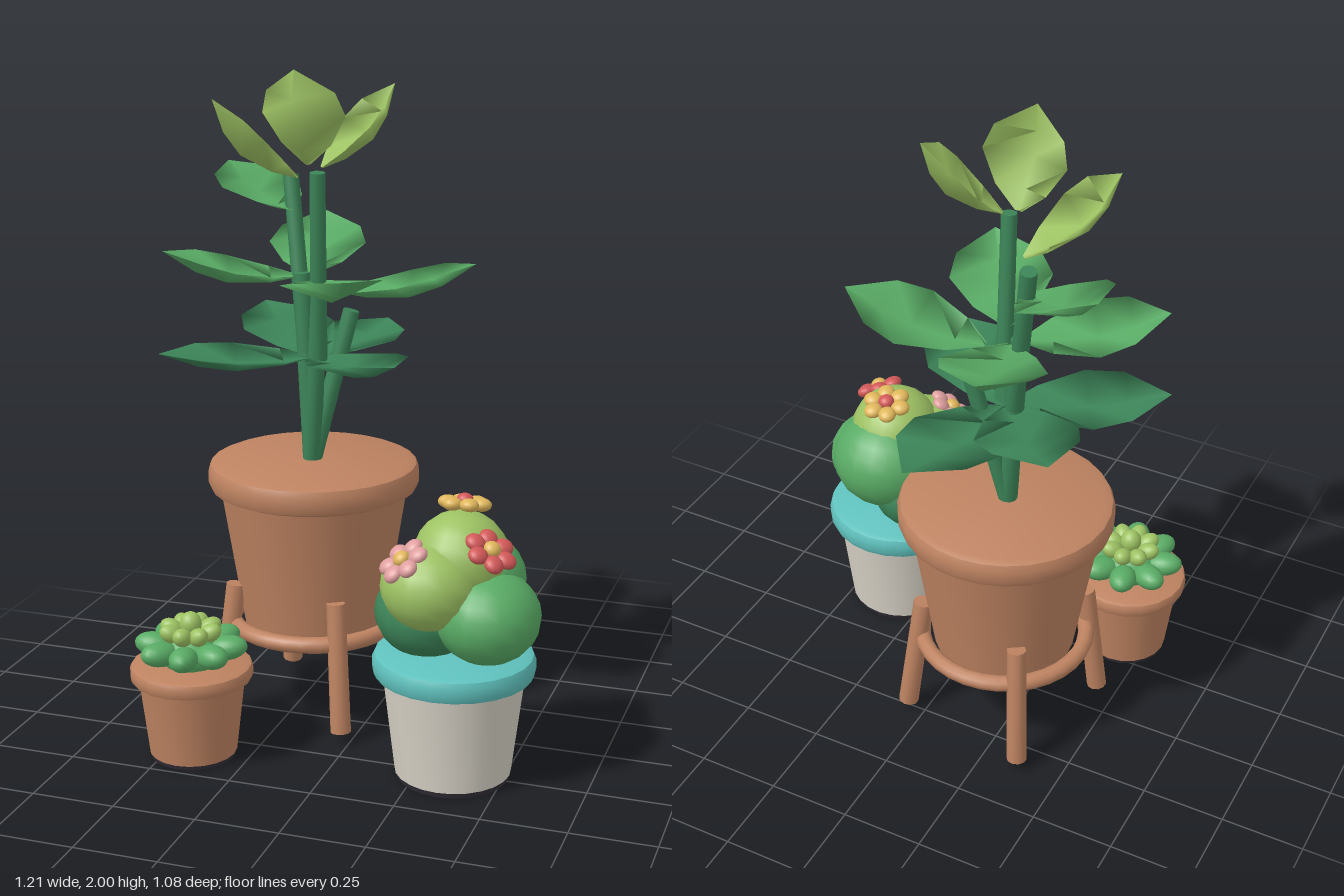
import * as THREE from 'three';
import { toCreasedNormals } from 'three/addons/utils/BufferGeometryUtils.js';

const mat = (name, color) => new THREE.MeshStandardMaterial({ name, color });
const V = (p) => new THREE.Vector3(...p);
const UP = new THREE.Vector3(0, 1, 0);

export function createModel() {
  const model = new THREE.Group();
  model.name = 'pottedPlants';

  const terracotta = mat('terracotta', 0xbe8361);
  const dark = mat('darkBase', 0x332e37);
  const white = mat('whiteGlaze', 0xd8d3c7);
  const teal = mat('tealGlaze', 0x5fc1bd);
  const deepGreen = mat('deepGreen', 0x3c8458);
  const midGreen = mat('midGreen', 0x59ab65);
  const limeGreen = mat('limeGreen', 0x9dc263);
  const yellow = mat('yellow', 0xdfb65b);
  const red = mat('red', 0xd25858);
  const pink = mat('pink', 0xdf9e9e);

  const add = (parent, name, geometry, material, pos = [0, 0, 0]) => {
    const mesh = new THREE.Mesh(geometry, material);
    mesh.name = name;
    mesh.position.set(...pos);
    parent.add(mesh);
    return mesh;
  };
  const group = (name, pos = [0, 0, 0]) => {
    const g = new THREE.Group();
    g.name = name;
    g.position.set(...pos);
    model.add(g);
    return g;
  };
  const lathe = (pts, sides) => toCreasedNormals(
    new THREE.LatheGeometry(pts.map(([r, y]) => new THREE.Vector2(r, y)), sides), 0.6);
  const ball = (parent, name, material, pos, size) => {
    const mesh = add(parent, name, new THREE.SphereGeometry(1, 18, 12), material, pos);
    mesh.scale.set(...size);
    return mesh;
  };
  // Straight round bar between two points
  const bar = (parent, name, a, b, r0, r1, material) => {
    const from = V(a), dir = V(b).sub(from);
    const mesh = add(parent, name, toCreasedNormals(new THREE.CylinderGeometry(r1, r0, dir.length(), 10), 0.8),
      material, from.clone().addScaledVector(dir, 0.5).toArray());
    mesh.quaternion.setFromUnitVectors(UP, dir.normalize());
  };
  // Thick closed lid with rounded edges
  const rim = (r, y0, y1) => {
    const b = (y1 - y0) * 0.3, k = b * 0.3;
    return [[0, y0], [r - b, y0], [r - k, y0 + k], [r, y0 + b], [r, y1 - b], [r - k, y1 - k], [r - b, y1], [0, y1]];
  };

  // Large pot on a four-legged ring stand
  const big = group('largePot', [-0.195, 0, -0.09]);
  add(big, 'potBody', lathe([[0, 0.28], [0.215, 0.28], [0.288, 0.74], [0, 0.74]], 28), terracotta);
  add(big, 'potRim', lathe(rim(0.322, 0.72, 0.81), 28), terracotta);
  add(big, 'standRing', new THREE.TorusGeometry(0.253, 0.025, 10, 32).rotateX(Math.PI / 2), terracotta, [0, 0.3, 0]);
  for (let i = 0; i < 4; i++) {
    const a = 0.6 + i * Math.PI / 2, s = Math.sin(a), c = Math.cos(a);
    bar(big, 'standLeg', [s * 0.3, 0.035, c * 0.3], [s * 0.25, 0.43, c * 0.25], 0.031, 0.029, terracotta);
  }

  // Smooth, pointed leaf from base to tip: a thin four-sided section, cupped upward
  const leaf = (parent, name, base, tip, width, sag, fold, material) => {
    const a = V(base), dir = V(tip).sub(a);
    const side = dir.clone().cross(UP).normalize();
    const normal = side.clone().cross(dir).normalize();
    const len = dir.length();
    const stations = [[0, 0.08], [0.2, 0.6], [0.5, 1], [0.74, 0.82], [1, 0]];
    const pts = [], index = [];
    stations.forEach(([t, w], i) => {
      const half = w * width / 2, drop = -sag * len * Math.sin(Math.PI * t);
      const section = [[-half, half * fold], [0, 0.008 * w], [half, half * fold], [0, -0.016 * w]];
      section.forEach(([x, y], j) => {
        pts.push(a.clone().addScaledVector(dir, t).addScaledVector(side, x).addScaledVector(normal, drop + y));
        if (i === stations.length - 1) return;
        const p = i * 4 + j, q = i * 4 + (j + 1) % 4;
        index.push(p, q, q + 4, p, q + 4, p + 4);
      });
    });
    const g = new THREE.BufferGeometry().setFromPoints(pts);
    g.setIndex(index);
    g.computeVertexNormals();
    add(parent, name, g, material);
  };

  // Tall leafy plant
  const plant = group('tallPlant');
  const root = [-0.2, 0.8, -0.09];
  bar(plant, 'stem', root, [-0.238, 1.38, -0.11], 0.028, 0.026, deepGreen);
  bar(plant, 'stem', [-0.22, 1.13, -0.1], [-0.3, 1.66, -0.195], 0.026, 0.024, deepGreen);
  bar(plant, 'stem', root, [-0.16, 1.3, -0.045], 0.027, 0.025, deepGreen);
  bar(plant, 'stem', [-0.165, 1.13, -0.06], [-0.145, 1.7, 0], 0.025, 0.023, deepGreen);
  bar(plant, 'stem', root, [-0.09, 1.27, -0.14], 0.027, 0.025, deepGreen);

  const lower = [[-0.1, 1.16, -0.54], [-0.6, 1.16, 0.14], [0.15, 1.19, 0.19], [-0.47, 1.22, -0.41]];
  lower.forEach((tip) => leaf(plant, 'lowerLeaf', [-0.19, 1.13, -0.09], tip, 0.3, 0.07, 0.25, deepGreen));
  const middle = [
    [[-0.13, 1.33, -0.11], [0.29, 1.43, -0.16]],
    [[-0.22, 1.37, -0.13], [-0.31, 1.5, -0.53]],
    [[-0.17, 1.37, -0.05], [0.05, 1.45, 0.31]],
    [[-0.24, 1.37, -0.1], [-0.6, 1.46, 0.09]],
    [[-0.28, 1.56, -0.15], [-0.54, 1.68, -0.29]],
  ];
  middle.forEach(([base, tip]) => leaf(plant, 'middleLeaf', base, tip, 0.3, 0.1, 0.27, midGreen));
  const top = [
    [[-0.18, 1.72, -0.01], [-0.185, 2, 0.08], 0.26],
    [[-0.14, 1.71, -0.03], [0.035, 1.945, -0.17], 0.23],
    [[-0.26, 1.66, -0.14], [-0.47, 1.9, 0], 0.23],
  ];
  top.forEach(([base, tip, width]) => leaf(plant, 'topLeaf', base, tip, width, 0.14, 0.5, limeGreen));

  // Small pot with a rosette succulent
  const small = group('smallPot', [-0.422, 0, 0.355]);
  add(small, 'potBase', lathe([[0, 0], [0.126, 0], [0.13, 0.013], [0, 0.013]], 20), dark);
  add(small, 'potBody', lathe([[0, 0.013], [0.13, 0.013], [0.158, 0.25], [0, 0.25]], 20), terracotta);
  add(small, 'potRim', lathe(rim(0.182, 0.24, 0.29), 20), terracotta);
  const petals = (name, count, start, radius, y, size, tilt, material) => {
    for (let i = 0; i < count; i++) {
      const a = start + i * 2 * Math.PI / count;
      const m = ball(small, name, material, [Math.cos(a) * radius, y, -Math.sin(a) * radius], size);
      m.rotation.set(0, a, tilt, 'YXZ');
    }
  };
  ball(small, 'rosetteCore', midGreen, [0, 0.32, 0], [0.09, 0.07, 0.09]);
  petals('outerPetal', 8, 0.2, 0.107, 0.34, [0.062, 0.036, 0.042], 0.15, midGreen);
  petals('innerPetal', 8, 0, 0.06, 0.388, [0.038, 0.027, 0.028], 0.5, limeGreen);
  ball(small, 'rosetteHeart', limeGreen, [0, 0.41, 0], [0.033, 0.037, 0.033]);

  // Glazed pot with a clustered cactus
  const glazed = group('glazedPot', [0.35, 0, 0.245]);
  add(glazed, 'potBase', lathe([[0, 0], [0.165, 0], [0.17, 0.016], [0, 0.016]], 24), dark);
  add(glazed, 'potBody', lathe([[0, 0.016], [0.17, 0.016], [0.208, 0.33], [0, 0.33]], 24), white);
  add(glazed, 'potRim', lathe(rim(0.236, 0.312, 0.386), 24), teal);

  const cactus = group('cactus');
  ball(cactus, 'cactusLobe', midGreen, [0.457, 0.515, 0.28], [0.152, 0.135, 0.158]);
  ball(cactus, 'cactusLobe', deepGreen, [0.265, 0.49, 0.22], [0.156, 0.135, 0.165]);
  ball(cactus, 'cactusLobe', midGreen, [0.367, 0.585, 0.192], [0.175, 0.155, 0.178]);
  ball(cactus, 'cactusLobe', limeGreen, [0.3, 0.605, 0.32], [0.143, 0.128, 0.15]);
  ball(cactus, 'cactusLobe', limeGreen, [0.365, 0.665, 0.24], [0.14, 0.138, 0.145]);

  // Flowers: a ring of petals around a bead, facing along a normal
  const flower = (name, pos, normal, count, petal, heart) => {
    const f = new THREE.Group();
    f.name = name;
    f.position.set(...pos);
    f.quaternion.setFromUnitVectors(UP, V(normal).normalize());
    cactus.add(f);
    for (let i = 0; i < count; i++) {
      const a = i * 2 * Math.PI / count;
      const m = ball(f, 'flowerPetal', petal, [Math.cos(a) * 0.049, 0, -Math.sin(a) * 0.049], [0.03, 0.02, 0.028]);
      m.rotation.y = a;
    }
    ball(f, 'flowerHeart', heart, [0, 0.01, 0], [0.025, 0.02, 0.025]);
  };
  flower('yellowFlower', [0.355, 0.805, 0.17], [0, 1, -0.2], 6, yellow, red);
  flower('redFlower', [0.477, 0.73, 0.337], [0.5, 0.9, 0.3], 6, red, yellow);
  flower('pinkFlower', [0.24, 0.692, 0.387], [-0.45, 0.8, 0.4], 6, pink, yellow);

  return model;
}
